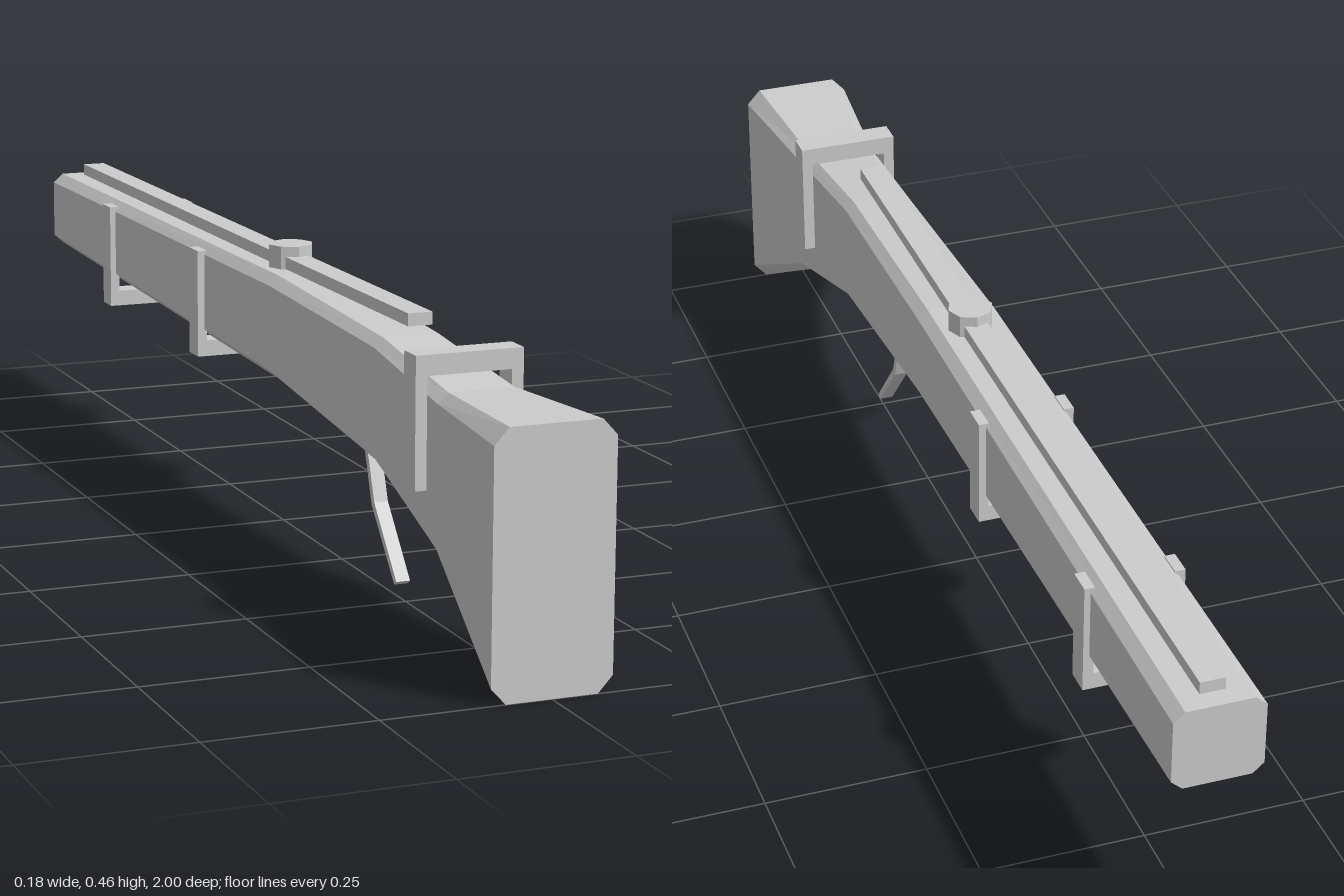
import * as THREE from 'three';

export function createModel() {
  const group = new THREE.Group();
  const grey = new THREE.MeshStandardMaterial({ color: 0xcccccc, flatShading: true });
  grey.name = 'plain grey';

  const add = (name, geometry, parent = group) => {
    const mesh = new THREE.Mesh(geometry, grey);
    mesh.name = name;
    parent.add(mesh);
    return mesh;
  };
  const box = (name, w, h, d, x, y, z, parent) => {
    const mesh = add(name, new THREE.BoxGeometry(w, h, d), parent);
    mesh.position.set(x, y, z);
    return mesh;
  };

  // Stock: chamfered cross-sections [z, top, bottom, half width, chamfer x, chamfer y]
  const sections = [
    [1, 0.38, 0.0, 0.09, 0.022, 0.024],
    [0.76, 0.374, 0.138, 0.066, 0.016, 0.015],
    [0.51, 0.402, 0.213, 0.057, 0.014, 0.014],
    [0.1, 0.42, 0.257, 0.063, 0.016, 0.015],
    [-1, 0.415, 0.287, 0.068, 0.017, 0.015],
  ];
  const ring = ([z, t, b, w, cx, cy]) => [
    [w, b + cy, z], [w, t - cy, z], [w - cx, t, z], [cx - w, t, z],
    [-w, t - cy, z], [-w, b + cy, z], [cx - w, b, z], [w - cx, b, z],
  ];
  const rings = sections.map(ring);
  const points = [];
  for (let s = 0; s < rings.length - 1; s++) {
    for (let i = 0; i < 8; i++) {
      const j = (i + 1) % 8;
      const a = rings[s][i], b = rings[s][j], c = rings[s + 1][j], d = rings[s + 1][i];
      points.push(...a, ...d, ...c, ...a, ...c, ...b);
    }
  }
  // Flat end caps
  const first = rings[0], last = rings[rings.length - 1];
  for (let i = 1; i < 7; i++) {
    points.push(...first[0], ...first[i], ...first[i + 1]);
    points.push(...last[0], ...last[i + 1], ...last[i]);
  }
  const stock = new THREE.BufferGeometry();
  stock.setAttribute('position', new THREE.Float32BufferAttribute(points, 3));
  stock.computeVertexNormals();
  add('stock', stock);

  // Top rail, dipping slightly toward the muzzle
  const rail = box('rail', 0.038, 0.019, 1.515, 0, 0.429, -0.2125);
  rail.rotation.x = -0.0045;

  // Octagonal knob on the rail
  const knob = add('knob', new THREE.CylinderGeometry(0.036, 0.036, 0.036, 8));
  knob.position.set(0, 0.438, 0.03);

  // U-shaped clamps: a cross bar at one end joining two legs
  const clamp = (name, z, halfWidth, leg, low, high, barY, barHeight) => {
    const part = new THREE.Group();
    part.name = name;
    group.add(part);
    box('clampBar', halfWidth * 2, barHeight, 0.041, 0, barY, z, part);
    const isTop = barY > (low + high) / 2;
    const y0 = isTop ? low : low + barHeight;
    const y1 = isTop ? high - barHeight : high;
    for (const side of [-1, 1]) {
      box('clampLeg', leg, y1 - y0, 0.041, side * (halfWidth - leg / 2), (y0 + y1) / 2, z, part);
    }
  };
  clamp('rearClamp', 0.70, 0.082, 0.018, 0.227, 0.42, 0.405, 0.03);
  clamp('middleClamp', -0.212, 0.076, 0.016, 0.235, 0.41, 0.248, 0.026);
  clamp('frontClamp', -0.665, 0.076, 0.016, 0.235, 0.41, 0.248, 0.026);

  // Bent trigger lever, extruded from its side profile
  const profile = new THREE.Shape([
    [-0.352, 0.24], [-0.394, 0.122], [-0.482, 0.022],
    [-0.49, 0.028], [-0.404, 0.128], [-0.363, 0.24],
  ].map(([x, y]) => new THREE.Vector2(x, y)));
  const trigger = new THREE.ExtrudeGeometry(profile, { depth: 0.022, bevelEnabled: false });
  trigger.translate(0, 0, -0.011).rotateY(Math.PI / 2);
  add('trigger', trigger);

  return group;
}
